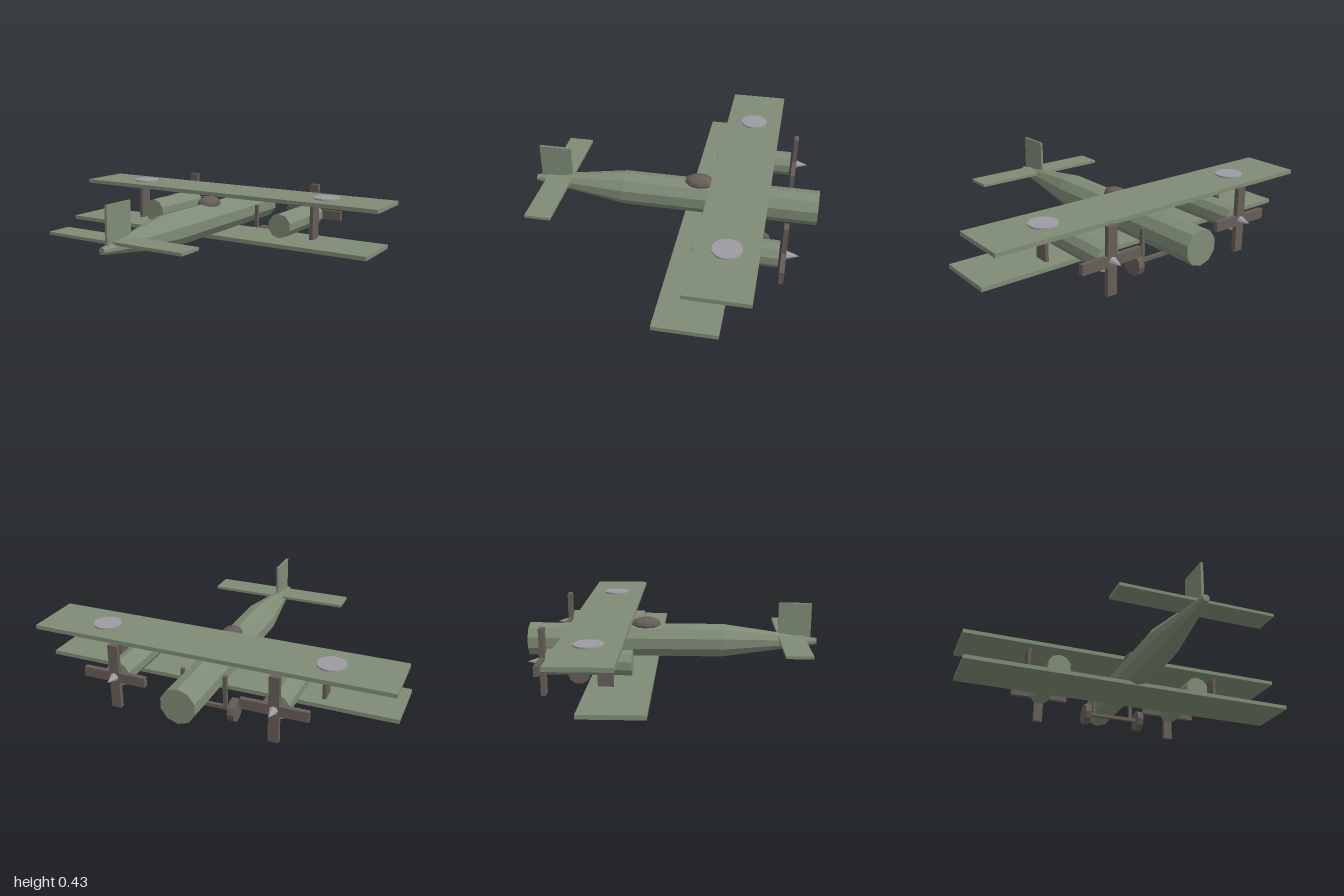
import * as THREE from 'three';

export function createModel() {
  const model = new THREE.Group();
  const mat = (color) => new THREE.MeshStandardMaterial({ color, flatShading: true });
  const green = mat(0x7f8c76), brown = mat(0x665d57), grey = mat(0x9c9ca2);

  const add = (name, geometry, material, x, y, z) => {
    const mesh = new THREE.Mesh(geometry, material);
    mesh.name = name;
    mesh.position.set(x, y, z);
    model.add(mesh);
    return mesh;
  };
  const box = (name, material, w, h, d, x, y, z) =>
    add(name, new THREE.BoxGeometry(w, h, d), material, x, y, z);
  // Cylinder lying along z; the first radius is at the +z end
  const tubeZ = (rBack, rNose, length, sides) =>
    new THREE.CylinderGeometry(rBack, rNose, length, sides).rotateX(Math.PI / 2);

  // Fuselage, nose towards -z, and tapering tail
  const axisY = 0.208;
  add('fuselage', tubeZ(0.097, 0.097, 1.105, 10), green, 0, axisY, -0.2675);
  add('tailCone', tubeZ(0.019, 0.097, 0.535, 10), green, 0, axisY, 0.5525);

  // Cockpit canopy
  const canopy = add('canopy', new THREE.SphereGeometry(1, 10, 8), brown, 0, 0.3, -0.15);
  canopy.scale.set(0.058, 0.042, 0.087);

  // Staggered wings
  box('upperWing', green, 2, 0.023, 0.328, 0, 0.341, -0.387);
  box('lowerWing', green, 2, 0.023, 0.328, 0, 0.118, -0.243);

  // Tail surfaces
  box('tailplane', green, 0.84, 0.016, 0.145, 0, 0.234, 0.675);
  box('tailFin', green, 0.014, 0.205, 0.185, 0, 0.328, 0.693);

  for (const side of [-1, 1]) {
    // Wing strut and wing disc
    box('wingStrut', brown, 0.02, 0.205, 0.08, side * 0.6, 0.23, -0.312);
    add('wingDisc', new THREE.CylinderGeometry(0.077, 0.077, 0.01, 24), grey,
      side * 0.64, 0.357, -0.388);

    // Engine nacelle with four-bladed propeller and spinner
    const ex = side * 0.44, ey = 0.205;
    add('engine', tubeZ(0.07, 0.07, 0.445, 10), green, ex, ey, -0.4145);
    box('propellerBlades', brown, 0.055, 0.36, 0.026, ex, ey, -0.661);
    box('propellerBlades', brown, 0.355, 0.055, 0.026, ex, ey, -0.661);
    add('spinner', new THREE.ConeGeometry(0.03, 0.085, 8).rotateX(-Math.PI / 2), grey,
      ex, ey, -0.6975);

    // Landing gear
    add('wheel', new THREE.CylinderGeometry(0.063, 0.063, 0.036, 10).rotateZ(Math.PI / 2), brown,
      side * 0.171, 0.06, -0.516);
    box('gearStrut', brown, 0.02, 0.185, 0.02, side * 0.12, 0.153, -0.516);
  }
  box('axle', brown, 0.34, 0.02, 0.02, 0, 0.064, -0.516);

  return model;
}
